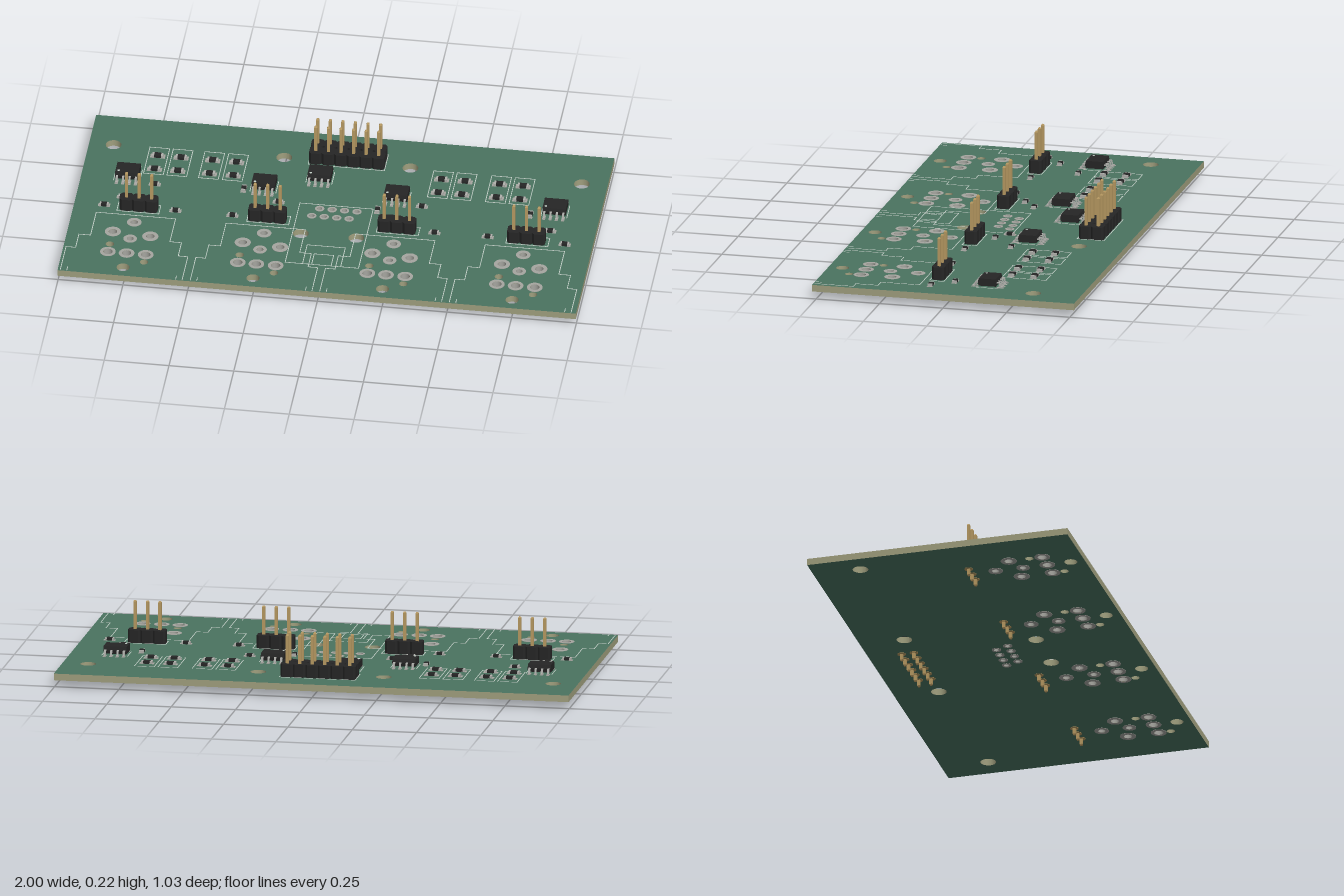
import * as THREE from 'three';
import { mergeGeometries } from 'three/addons/utils/BufferGeometryUtils.js';

const mat = (color, extra = {}) => {
  const m = new THREE.MeshStandardMaterial(extra);
  m.color.set(color);
  return m;
};
const MAT = {
  mask: mat(0x4a7360), edge: mat(0xa09f7e), pad: mat(0xa6a6a0), silk: mat(0xc4d0c8),
  black: mat(0x262626, { flatShading: true }), gold: mat(0xb89a62, { flatShading: true }),
  tin: mat(0xb0b0ac), barrel: mat(0xa6a6a0, { side: THREE.DoubleSide }),
};
const Y0 = 0.029, Y1 = 0.055; // board underside and top

export function createModel() {
  const root = new THREE.Group();
  const add = (name, geos, material) => {
    const flat = geos.map(g => (g.index ? g.toNonIndexed() : g));
    const mesh = new THREE.Mesh(mergeGeometries(flat), material);
    mesh.name = name;
    root.add(mesh);
  };
  const box = (w, h, d, x, y, z) => new THREE.BoxGeometry(w, h, d).translate(x, y, z);
  // plan outline (x, -z) raised from y to y + h
  const raise = (shape, y, h, seg = 20) => new THREE.ExtrudeGeometry(shape,
    { depth: h, bevelEnabled: false, curveSegments: seg }).rotateX(-Math.PI / 2).translate(0, y, 0);
  const circle = (x, z, r) => new THREE.Path().absarc(x, -z, r, 0, Math.PI * 2, true);

  // ---- drill list: [x, z, hole radius, pad radius (0 = unplated)]
  const connectorX = [-0.755, -0.254, 0.246, 0.746];
  const drills = [
    [-0.906, -0.331, 0.03, 0], [0.901, -0.331, 0.03, 0], [-0.249, -0.341, 0.03, 0],
    [0.238, -0.341, 0.03, 0], [-0.115, 0.144, 0.03, 0], [0.099, 0.144, 0.03, 0],
  ];
  for (const x of connectorX) {
    drills.push([x, 0.163, 0.014, 0.028], [x - 0.072, 0.235, 0.016, 0.031],
      [x + 0.074, 0.246, 0.016, 0.031], [x, 0.272, 0.013, 0.026],
      [x - 0.072, 0.317, 0.016, 0], [x + 0.074, 0.416, 0.016, 0], [x, 0.461, 0.025, 0]);
    for (const dx of [-0.072, 0, 0.074]) drills.push([x + dx, 0.368, 0.018, 0.03]);
  }
  for (let i = 0; i < 4; i++) {
    drills.push([-0.067 + i * 0.048, -0.027, 0.01, 0.018], [-0.09 + i * 0.048, 0.024, 0.01, 0.018]);
  }

  // ---- board
  const outline = new THREE.Shape([[-1, -0.516], [1, -0.516], [1, 0.516], [-1, 0.516]]
    .map(p => new THREE.Vector2(...p)));
  for (const [x, z, r] of drills) outline.holes.push(circle(x, z, r));
  const board = new THREE.Mesh(raise(outline, Y0, Y1 - Y0), [MAT.mask, MAT.edge]);
  board.name = 'circuitBoard';
  root.add(board);

  // ---- plated pads on both faces, with barrels
  const pads = [], barrels = [];
  for (const [x, z, r, R] of drills) {
    if (!R) continue;
    const ring = new THREE.Shape().absarc(x, -z, R, 0, Math.PI * 2, false);
    ring.holes.push(circle(x, z, r));
    pads.push(raise(ring, Y1, 0.0012), raise(ring, Y0 - 0.0012, 0.0012));
    barrels.push(new THREE.CylinderGeometry(r * 0.98, r * 0.98, Y1 - Y0, 16, 1, true)
      .translate(x, (Y0 + Y1) / 2, z));
  }
  add('solderPads', pads, MAT.pad);
  add('platedBarrels', barrels, MAT.barrel);

  // ---- pin headers
  const pitch = 0.0485, half = pitch / 2, c = 0.008;
  const cell = new THREE.Shape([[-half, -half + c], [-half + c, -half], [half - c, -half],
    [half, -half + c], [half, half - c], [half - c, half], [-half + c, half], [-half, half - c]]
    .map(p => new THREE.Vector2(...p)));
  const pinProfile = [[0, 0], [0.0045, 0], [0.0082, 0.005], [0.0082, 0.213], [0.0045, 0.218], [0, 0.218]]
    .map(p => new THREE.Vector2(...p));
  const header = (name, cx, cz, cols, rows) => {
    const blocks = [], pins = [];
    for (let i = 0; i < cols; i++) for (let j = 0; j < rows; j++) {
      const x = cx + (i - (cols - 1) / 2) * pitch, z = cz + (j - (rows - 1) / 2) * pitch;
      blocks.push(raise(cell, Y1, 0.05).translate(x, 0, z));
      pins.push(new THREE.LatheGeometry(pinProfile, 4).rotateY(Math.PI / 4).translate(x, 0, z));
      pins.push(new THREE.CylinderGeometry(0.017, 0.017, 0.0012, 12).translate(x, Y0 - 0.0006, z));
    }
    add(name + 'Body', blocks, MAT.black);
    add(name + 'Pins', pins, MAT.gold);
  };
  header('mainHeader', -0.005, -0.362, 6, 2);
  [-0.75, -0.254, 0.245, 0.745].forEach((x, i) => header('portHeader' + (i + 1), x, 0.068, 3, 1));

  // ---- eight-leg chips: bevelled body, bent legs towards front and back
  const chipBody = new THREE.Shape([[-0.034, 0.061], [0.034, 0.061], [0.037, 0.075],
    [0.033, 0.09], [-0.033, 0.09], [-0.037, 0.075]].map(p => new THREE.Vector2(...p)));
  const legShape = new THREE.Shape([[0.034, 0.073], [0.045, 0.073], [0.049, 0.056], [0.059, 0.056],
    [0.059, 0.06], [0.052, 0.06], [0.048, 0.077], [0.034, 0.077]].map(p => new THREE.Vector2(...p)));
  // section (z, y) extruded by w along x
  const across = (shape, w) => new THREE.ExtrudeGeometry(shape, { depth: w, bevelEnabled: false })
    .translate(0, 0, -w / 2).rotateY(-Math.PI / 2);
  const chips = [[-0.823, -0.141], [-0.297, -0.143], [0.214, -0.143], [0.826, -0.141], [-0.094, -0.23]];
  const bodies = [], legs = [], marks = [], chipPads = [];
  for (const [x, z] of chips) {
    bodies.push(across(chipBody, 0.09).translate(x, 0, z));
    marks.push(new THREE.CylinderGeometry(0.005, 0.005, 0.001, 12).translate(x - 0.033, 0.0902, z + 0.022));
    for (let i = 0; i < 4; i++) for (const turn of [0, Math.PI]) {
      const dx = (i - 1.5) * 0.0245, s = turn ? -1 : 1;
      legs.push(across(legShape, 0.008).rotateY(turn).translate(x + dx, 0, z));
      chipPads.push(box(0.012, 0.0014, 0.028, x + dx, Y1 + 0.0004, z + s * 0.05));
    }
  }
  add('chipBodies', bodies, MAT.black);
  add('chipLegs', legs, MAT.tin);
  add('chipPinMarks', marks, MAT.silk);
  add('chipPads', chipPads, MAT.pad);

  // ---- small two-ended parts: [x, z, turned]
  const columnX = [-0.728, -0.638, -0.516, -0.424, 0.367, 0.458, 0.591, 0.682];
  const small = [
    [-0.822, 0.005], [-0.885, 0.067], [-0.61, 0.067], [-0.713, -0.094], [-0.228, -0.045],
    [-0.39, 0.067], [-0.29, 0.005], [0.318, -0.094], [0.21, -0.004], [0.39, 0.07],
    [0.595, 0.067], [0.826, -0.004], [0.893, 0.075],
    [-0.372, -0.112, 1], [0.153, -0.047, 1], [0.735, -0.1, 1],
  ];
  for (const x of columnX) small.push([x, -0.28, 0, 1.25], [x, -0.192, 0, 1.25]);
  const cores = [], caps = [], lands = [];
  for (const [x, z, turned = 0, k = 1] of small) {
    const place = g => g.scale(k, 1, k).rotateY(turned * Math.PI / 2).translate(x, 0, z);
    cores.push(place(box(0.021, 0.0105, 0.018, 0, Y1 + 0.0055, 0)));
    for (const s of [-1, 1]) {
      caps.push(place(box(0.007, 0.01, 0.018, s * 0.0135, Y1 + 0.005, 0)));
      lands.push(place(box(0.015, 0.0014, 0.021, s * 0.0155, Y1 + 0.0004, 0)));
    }
  }
  add('resistorCores', cores, MAT.black);
  add('resistorEndCaps', caps, MAT.tin);
  add('resistorLands', lands, MAT.pad);

  // ---- printed guide lines
  const lines = [];
  const path = (pts, w = 0.003) => pts.slice(1).forEach(([x, z], i) => {
    const [px, pz] = pts[i], len = Math.hypot(x - px, z - pz);
    lines.push(box(len + w, 0.0008, w, 0, 0, 0).rotateY(-Math.atan2(z - pz, x - px))
      .translate((x + px) / 2, Y1 + 0.0004, (z + pz) / 2));
  });
  const rect = (x0, z0, x1, z1) => path([[x0, z0], [x1, z0], [x1, z1], [x0, z1], [x0, z0]]);
  for (const x of columnX) rect(x - 0.038, -0.335, x + 0.038, -0.162);
  for (const x of connectorX) {
    for (const s of [-1, 1]) {
      path([[0, 0.118], [0.153, 0.118], [0.153, 0.27], [0.198, 0.27], [0.198, 0.358],
        [0.235, 0.358], [0.235, 0.51]].map(([dx, z]) => [x + s * dx, z]));
      path([[x + s * 0.21, 0.49], [x + s * 0.21, 0.51]]);
    }
    rect(x - 0.077, 0.04, x + 0.085, 0.096);
  }
  rect(-0.147, -0.053, 0.136, 0.34);
  path([[-0.08, 0.34], [-0.08, 0.215], [0.067, 0.215], [0.067, 0.34]]);
  path([[-0.045, 0.34], [-0.045, 0.27], [0.03, 0.27], [0.03, 0.34]]);
  rect(-0.152, -0.415, 0.142, -0.309);
  for (const [x, z] of chips) {
    for (const s of [-1, 1]) path([[x + s * 0.05, z - 0.04], [x + s * 0.05, z + 0.04]]);
  }
  add('printedLines', lines, MAT.silk);

  return root;
}
